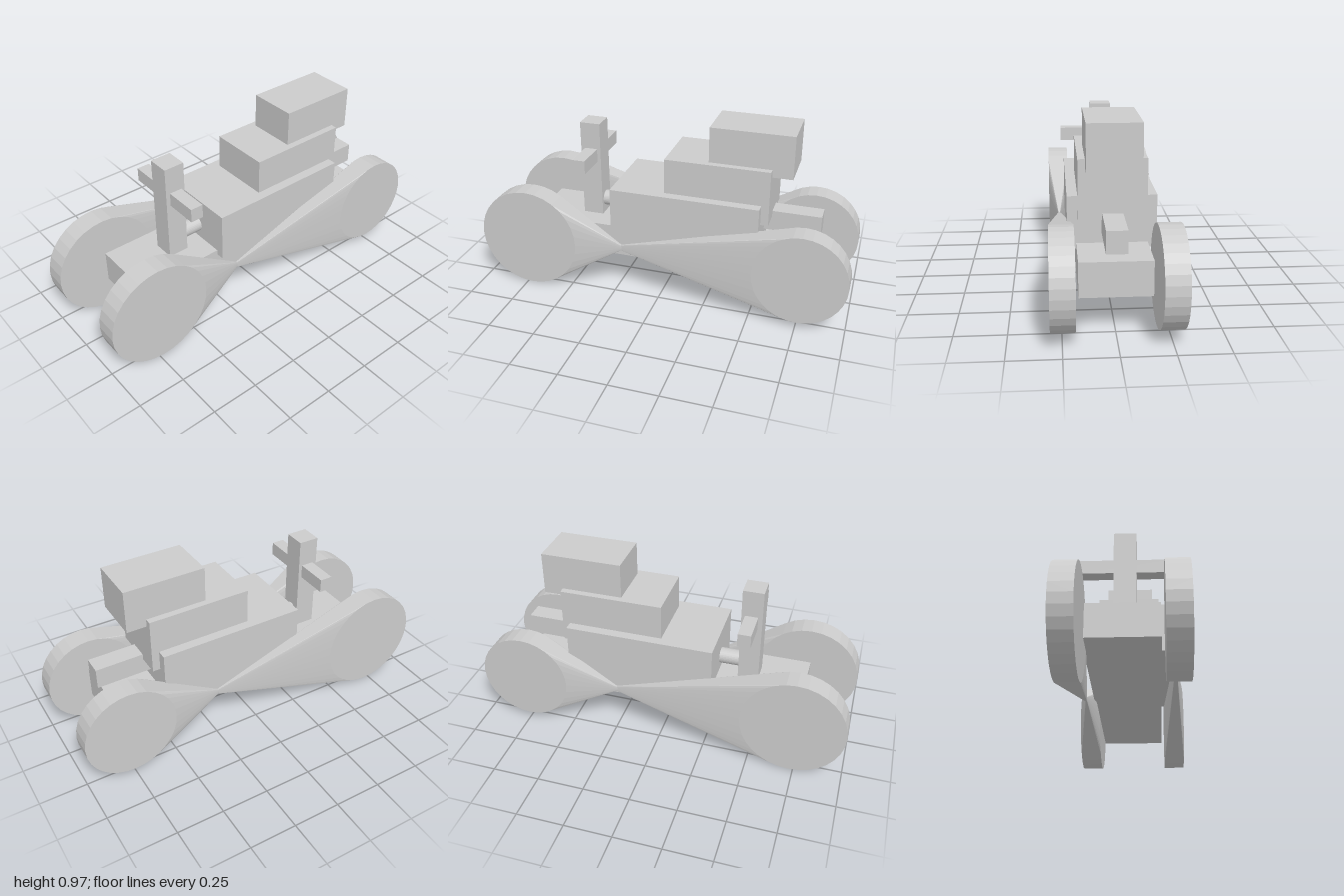
import * as THREE from 'three';
import { ConvexGeometry } from 'three/addons/geometries/ConvexGeometry.js';

const material = new THREE.MeshStandardMaterial({ color: 0xcccccc, flatShading: true });

export function createModel() {
  const model = new THREE.Group();
  model.name = 'quadBike';

  const add = (name, geometry) => {
    const mesh = new THREE.Mesh(geometry, material);
    mesh.name = name;
    model.add(mesh);
    return mesh;
  };

  // Box centred on x = 0, given its half width and its y and z ranges
  const box = (name, halfWidth, y0, y1, z0, z1) =>
    add(name, new THREE.BoxGeometry(halfWidth * 2, y1 - y0, z1 - z0))
      .position.set(0, (y0 + y1) / 2, (z0 + z1) / 2);

  // Wheel disc whose rim tapers to a point, so that two meet in a pinched link
  const wheel = (name, side, z, radius, apexZ) => {
    const y = 0.279, sides = 32;
    const points = [new THREE.Vector3(side * 0.247, y, apexZ)];
    for (let i = 0; i < sides; i++) {
      const a = (i / sides) * Math.PI * 2;
      for (const x of [0.19, 0.304]) {
        points.push(new THREE.Vector3(side * x, y + radius * Math.sin(a), z + radius * Math.cos(a)));
      }
    }
    add(name, new ConvexGeometry(points));
  };

  // Chassis, body and stacked seat
  box('chassis', 0.173, 0.19, 0.362, -0.78, 0.74);
  box('body', 0.216, 0.335, 0.597, -0.52, 0.275);
  box('seat', 0.165, 0.49, 0.785, -0.56, -0.01);
  box('topBox', 0.13, 0.745, 0.972, -0.665, -0.235);
  box('tailBlock', 0.05, 0.41, 0.52, -0.815, -0.5);

  // Steering
  box('steeringColumn', 0.057, 0.35, 0.892, 0.383, 0.493);
  box('handlebar', 0.23, 0.675, 0.748, 0.402, 0.47);
  const rod = add('steeringRod', new THREE.CylinderGeometry(0.042, 0.042, 0.16, 32));
  rod.rotation.x = Math.PI / 2;
  rod.position.set(0, 0.44, 0.33);

  // Wheels: the links pinch near the front on the left, near the rear on the right
  wheel('frontLeftWheel', 1, 0.725, 0.275, 0.18);
  wheel('rearLeftWheel', 1, -0.755, 0.245, 0.27);
  wheel('frontRightWheel', -1, 0.725, 0.275, -0.29);
  wheel('rearRightWheel', -1, -0.755, 0.245, -0.21);

  return model;
}
